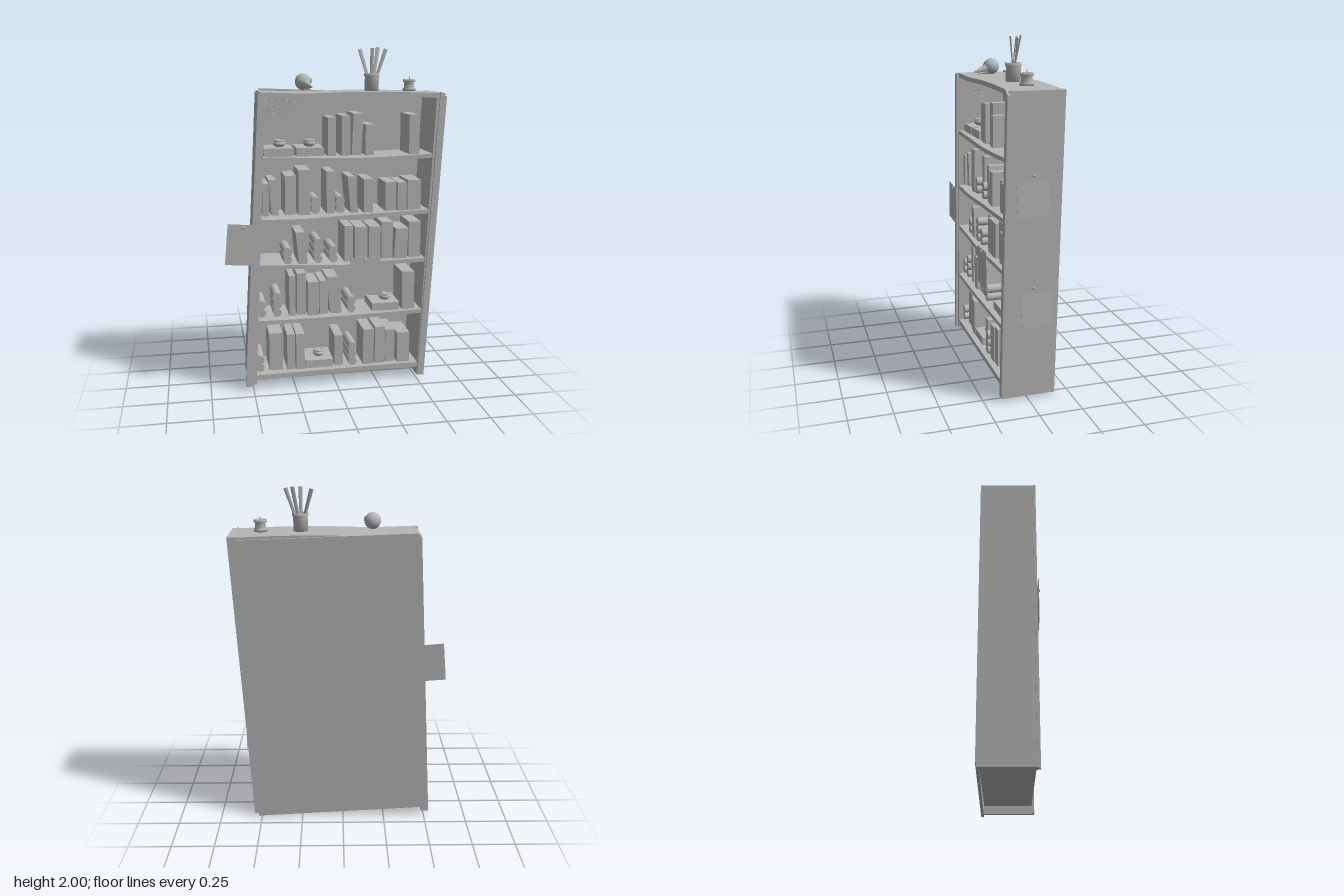
import * as THREE from 'three';

const grey = new THREE.MeshStandardMaterial({ color: 0xb6b6b6 });
grey.name = 'plain grey';

export function createModel() {
  const model = new THREE.Group();
  model.name = 'crookedBookcase';

  const add = (name, geometry, x = 0, y = 0, z = 0, parent = model) => {
    const mesh = new THREE.Mesh(geometry, grey);
    mesh.name = name;
    mesh.position.set(x, y, z);
    parent.add(mesh);
    return mesh;
  };
  // outline in x and y, pushed from z0 to z1
  const slab = (name, points, z0, z1) => {
    const shape = new THREE.Shape(points.map(([x, y]) => new THREE.Vector2(x, y)));
    const g = new THREE.ExtrudeGeometry(shape, { depth: z1 - z0, bevelEnabled: false });
    return add(name, g, 0, 0, z0);
  };
  // straight rod between two points
  const rod = (name, a, b, r0, r1 = r0, sides = 8) => {
    const p = new THREE.Vector3(...a), q = new THREE.Vector3(...b), d = q.clone().sub(p);
    const mesh = add(name, new THREE.CylinderGeometry(r1, r0, d.length(), sides));
    mesh.position.copy(p.add(q).multiplyScalar(0.5));
    mesh.quaternion.setFromUnitVectors(new THREE.Vector3(0, 1, 0), d.normalize());
    return mesh;
  };

  // leaning sides with narrow front trim
  slab('leftSide', [[-0.53, 0.03], [-0.482, 0.03], [-0.403, 1.74], [-0.435, 1.74]], -0.16, 0.142);
  slab('rightSide', [[0.505, 0.02], [0.545, 0.02], [0.638, 1.74], [0.59, 1.74]], -0.16, 0.142);
  slab('leftTrim', [[-0.547, 0.025], [-0.51, 0.025], [-0.405, 1.75], [-0.443, 1.745]], 0.138, 0.154);
  slab('rightTrim', [[0.507, 0.025], [0.546, 0.02], [0.645, 1.72], [0.607, 1.745]], 0.138, 0.154);
  slab('backPanel', [[-0.505, 0.06], [0.52, 0.004], [0.605, 1.725], [-0.415, 1.762]], -0.167, -0.15);

  // warped boards: left x, right x, heights of the upper face along the board
  const board = (name, x0, x1, heights, thick) => {
    const curve = new THREE.SplineCurve(heights.map((h, i) =>
      new THREE.Vector2(x0 + (x1 - x0) * i / (heights.length - 1), h)));
    const upper = curve.getPoints(16).map(p => [p.x, p.y]);
    const lower = upper.map(([x, y]) => [x, y - thick]).reverse();
    slab(name, [...lower.reverse(), ...upper.reverse()], -0.155, 0.138);
  };
  board('topBoard', -0.43, 0.62, [1.752, 1.744, 1.75, 1.748, 1.738], 0.026);
  const floors = [1.389, 1.05, 0.754, 0.437, 0.098];
  const sag = [[0, -0.006, -0.014, -0.01, 0.002], [-0.018, -0.022, -0.01, -0.002, 0.008],
    [0.008, 0, -0.012, 0.002, 0.008], [-0.012, -0.014, -0.01, -0.004, 0.004], [-0.012, -0.008, -0.004, 0, 0]];
  floors.forEach((y, i) => {
    const left = -0.5 + y * 0.05, right = 0.515 + y * 0.05;
    board('shelf' + (i + 1), left, right, sag[i].map(s => y + s), i === 4 ? 0.03 : 0.024);
  });

  // upright books: left x, right x, top height, lean
  const books = [
    [[-0.042, 0.005, 1.605], [0.037, 0.088, 1.615], [0.1, 0.168, 1.626, 0.01], [0.178, 0.228, 1.563], [0.44, 0.502, 1.615]],
    [[-0.425, -0.388, 1.234], [-0.388, -0.33, 1.254, -0.015], [-0.293, -0.228, 1.275], [-0.217, -0.148, 1.31],
      [-0.048, 0, 1.293], [0.075, 0.138, 1.262, -0.02], [0.17, 0.226, 1.245], [0.306, 0.37, 1.22], [0.375, 0.43, 1.22], [0.436, 0.518, 1.232]],
    [[-0.235, -0.165, 0.942, -0.017], [0.058, 0.11, 0.965], [0.12, 0.195, 0.96], [0.205, 0.275, 0.96],
      [0.285, 0.354, 0.98], [0.358, 0.445, 0.942, 0.01], [0.45, 0.523, 0.98]],
    [[-0.276, -0.238, 0.68], [-0.228, -0.174, 0.69], [-0.165, -0.1, 0.638], [-0.092, -0.042, 0.638],
      [-0.05, 0.042, 0.66, -0.022], [0.41, 0.49, 0.674, -0.004]],
    [[-0.398, -0.318, 0.325], [-0.292, -0.244, 0.315], [-0.238, -0.187, 0.318], [0, 0.052, 0.287],
      [0.174, 0.24, 0.32], [0.248, 0.312, 0.33], [0.317, 0.375, 0.303], [0.386, 0.464, 0.288]],
  ];
  books.forEach((row, i) => row.forEach(([x0, x1, top, lean = 0], k) => {
    const w = x1 - x0 - Math.abs(lean), a = lean < 0 ? x0 - lean : x0, y = floors[i] - 0.004;
    const front = 0.1 + 0.012 * Math.sin(k * 2.3 + i);
    slab('book', [[a, y], [a + w, y], [a + w + lean, top], [a + lean, top]], front - 0.2, front);
  }));

  // rolled scrolls stacked in columns: shelf, x, count
  [[1, -0.117, 2], [1, 0.03, 2], [2, -0.283, 2], [2, -0.103, 3], [2, -0.012, 2], [3, -0.44, 2],
    [3, -0.348, 3], [3, 0.098, 2], [4, -0.456, 2], [4, 0.107, 3]].forEach(([s, x, n]) => {
    for (let j = 0; j < n; j++) {
      const y = floors[s] + 0.024 + j * 0.048;
      rod('scroll', [x, y, -0.09], [x, y, 0.11], 0.026, 0.026, 16);
    }
  });

  // flat books, each carrying a small lidded bowl
  [[0, -0.325, 0.17, -0.315], [0, -0.145, 0.16, -0.14], [3, 0.312, 0.17, 0.322], [4, -0.097, 0.17, -0.09]]
    .forEach(([s, x, w, bx]) => {
      const y = floors[s];
      add('flatBook', new THREE.BoxGeometry(w, 0.048, 0.2), x, y + 0.022, 0.005);
      add('bowl', new THREE.SphereGeometry(0.036, 16, 10).scale(1, 0.6, 1), bx, y + 0.066, 0.03);
      add('bowlRim', new THREE.TorusGeometry(0.026, 0.007, 6, 16).rotateX(Math.PI / 2), bx, y + 0.082, 0.03);
    });

  // notes held by pins on the front
  const notes = [
    [[[-0.65, 0.78], [-0.475, 0.768], [-0.445, 1.003], [-0.628, 1.018]], 0.153, [-0.54, 0.993]],
    [[[0.085, 0.565], [0.275, 0.55], [0.26, 0.79], [0.08, 0.785]], 0.156, [0.168, 0.77]],
  ];
  notes.forEach(([outline, z, [px, py]]) => {
    slab('note', outline, z, z + 0.003);
    add('pin', new THREE.SphereGeometry(0.009, 10, 8), px, py, z + 0.005);
  });
  // notes on the outer right-hand side
  [[1.19, 0, 1.3, 0.611], [0.55, -0.04, 0.67, 0.577]].forEach(([y, z, pinY, x]) => {
    const paper = add('sideNote', new THREE.BoxGeometry(0.003, 0.22, 0.18), x, y, z);
    paper.rotation.x = 0.05;
    add('pin', new THREE.SphereGeometry(0.009, 10, 8), 0.546 + pinY * 0.053, pinY, z === 0 ? 0 : -0.02);
  });

  // cobweb in the upper left corner
  const web = [-0.08, -0.3, -0.55, -0.85, -1.2], corner = [-0.408, 1.71];
  const strand = (i, r) => [corner[0] + Math.cos(web[i]) * r, corner[1] + Math.sin(web[i]) * r, 0.05];
  const reach = [0.2, 0.22, 0.19, 0.14, 0.11];
  web.forEach((_, i) => {
    rod('webStrand', strand(i, 0), strand(i, reach[i]), 0.0013, 0.0013, 4);
    for (let k = 1; k < 5 && i < 4; k++)
      rod('webThread', strand(i, reach[i] * k / 5), strand(i + 1, reach[i + 1] * k / 5), 0.001, 0.001, 4);
  });

  // bird skull
  add('skull', new THREE.SphereGeometry(0.047, 24, 16), -0.17, 1.805, 0);
  rod('upperBeak', [-0.163, 1.797, 0.025], [-0.135, 1.777, 0.112], 0.027, 0.004, 12);
  rod('lowerBeak', [-0.16, 1.775, 0.02], [-0.14, 1.764, 0.09], 0.013, 0.003, 10);
  for (const s of [-1, 1])
    add('eyeRing', new THREE.TorusGeometry(0.012, 0.003, 6, 14).rotateY(s * 1.1 + 0.2),
      -0.163 + s * 0.036, 1.812, 0.03);

  // quill pot
  const lathe = (name, pts, x, y, z) => add(name,
    new THREE.LatheGeometry(pts.map(p => new THREE.Vector2(...p)), 24), x, y, z);
  lathe('quillPot', [[0, 0], [0.041, 0], [0.041, 0.08], [0.046, 0.083], [0.046, 0.1], [0.036, 0.1],
    [0.036, 0.07], [0, 0.07]], 0.237, 1.75, -0.007);
  [[0.172, 1.99, -0.045], [0.235, 1.995, 0.01], [0.278, 2, -0.035], [0.318, 1.99, -0.005]].forEach(([x, y, z], i) => {
    const base = [0.222 + i * 0.011, 1.8, -0.007];
    rod('quill', base, [x, y - 0.003, z], 0.003, 0.002, 6);
    const start = base.map((b, k) => b + ([x, y, z][k] - b) * 0.25);
    const vane = rod('quillVane', start, [x, y - 0.002, z], 0.009, 0.012, 8);
    vane.scale.z = 0.25;
  });

  // stubby candle
  lathe('candle', [[0, 0], [0.038, 0], [0.038, 0.014], [0.03, 0.018], [0.03, 0.05], [0.037, 0.053],
    [0.037, 0.066], [0.027, 0.066], [0.022, 0.055], [0, 0.055]], 0.463, 1.748, -0.008);
  rod('wick', [0.463, 1.8, -0.008], [0.465, 1.83, -0.008], 0.004, 0.003, 6);

  return model;
}
